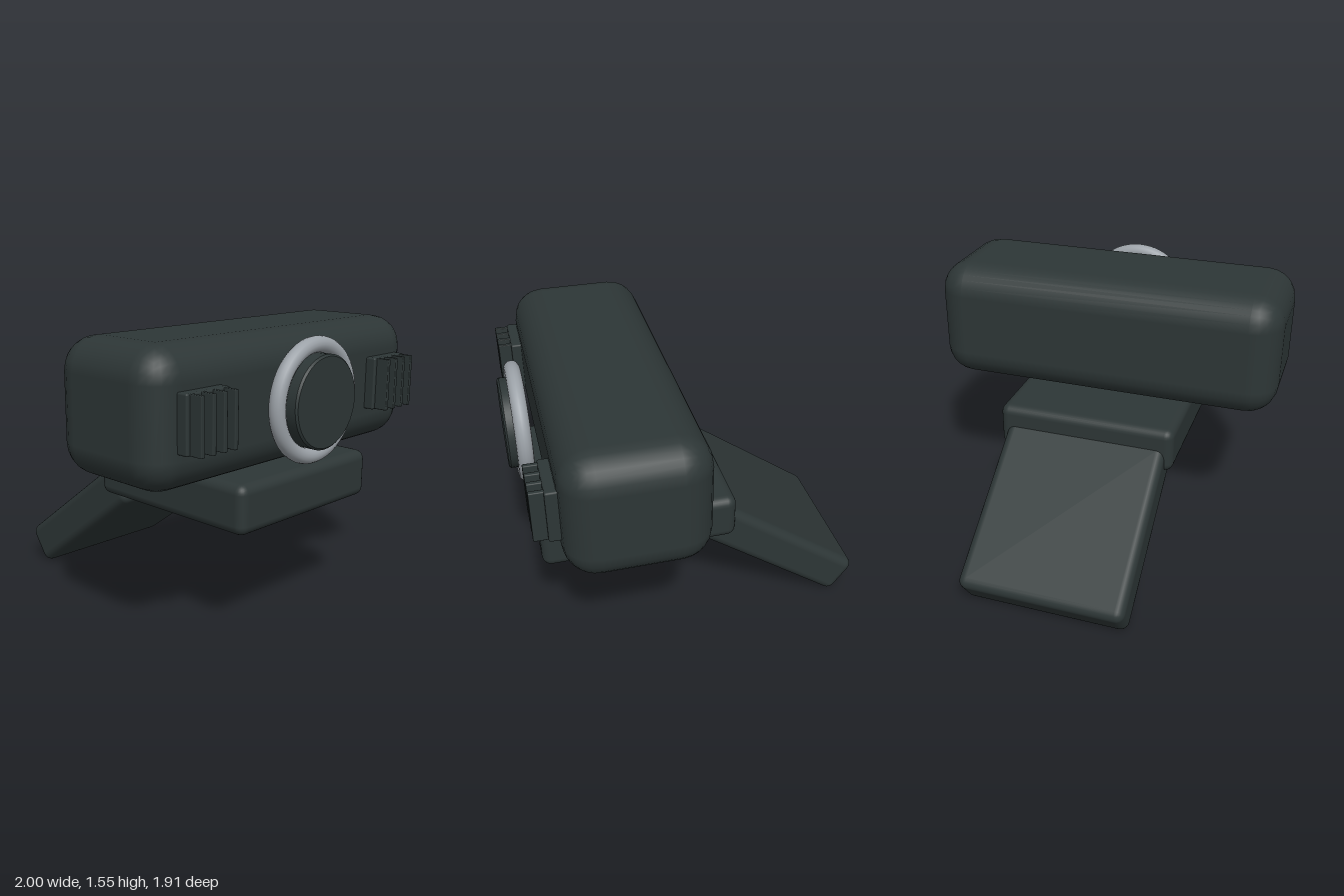
import * as THREE from 'three';
import { RoundedBoxGeometry } from 'three/addons/geometries/RoundedBoxGeometry.js';

export function createModel() {
  const model = new THREE.Group();
  model.name = 'webcam';

  const darkPlastic = new THREE.MeshStandardMaterial({ color: 0x2d3636 });
  darkPlastic.name = 'dark plastic';
  const silver = new THREE.MeshStandardMaterial({ color: 0x9ba1a7 });
  silver.name = 'silver';

  function add(name, geometry, material, x, y, z, parent = model) {
    const mesh = new THREE.Mesh(geometry, material);
    mesh.name = name;
    mesh.position.set(x, y, z);
    parent.add(mesh);
    return mesh;
  }

  // Camera housing
  add('housing', new RoundedBoxGeometry(2, 0.69, 0.735, 3, 0.17), darkPlastic, 0, 1.21, 0.417);

  // Mounting base and the hinged clip sloping down behind it
  add('mountBase', new RoundedBoxGeometry(1.02, 0.258, 1.06, 3, 0.05), darkPlastic, 0, 0.732, 0.331);
  const clip = add('clip', new RoundedBoxGeometry(0.934, 0.235, 1.0, 3, 0.05), darkPlastic, 0, 0.377, -0.5);
  clip.rotation.x = -Math.PI / 5;

  // Lens: closed disc with a slightly bevelled rim, turned to face +z
  const lensProfile = [[0, 0], [0.24, 0], [0.24, 0.085], [0.23, 0.095], [0, 0.095]];
  // Separate bands keep the rim edges crisp
  const lens = new THREE.Group();
  lens.name = 'lens';
  lens.position.set(0, 1.21, 0.863);
  lens.rotation.x = Math.PI / 2;
  model.add(lens);
  const bandNames = ['lensBack', 'lensSide', 'lensBevel', 'lensFace'];
  bandNames.forEach((name, i) => {
    const points = [lensProfile[i], lensProfile[i + 1]].map(([r, h]) => new THREE.Vector2(r, h));
    add(name, new THREE.LatheGeometry(points, 48), darkPlastic, 0, 0, 0, lens);
  });

  // Silver ring around the lens
  add('lensRing', new THREE.TorusGeometry(0.281, 0.042, 16, 64), silver, 0, 1.21, 0.872);

  // Speaker grilles: a plate with four upright slats on each side
  for (const side of [-1, 1]) {
    const grille = new THREE.Group();
    grille.name = side > 0 ? 'leftGrille' : 'rightGrille';
    grille.position.set(side * 0.715, 1.212, 0);
    model.add(grille);
    add('grillePlate', new RoundedBoxGeometry(0.28, 0.285, 0.08, 2, 0.01), darkPlastic, 0, 0, 0.8, grille);
    for (let i = 0; i < 4; i++) {
      add('grilleSlat', new RoundedBoxGeometry(0.025, 0.28, 0.09, 1, 0.005), darkPlastic,
        (i - 1.5) * 0.072, 0, 0.866, grille);
    }
  }

  return model;
}
